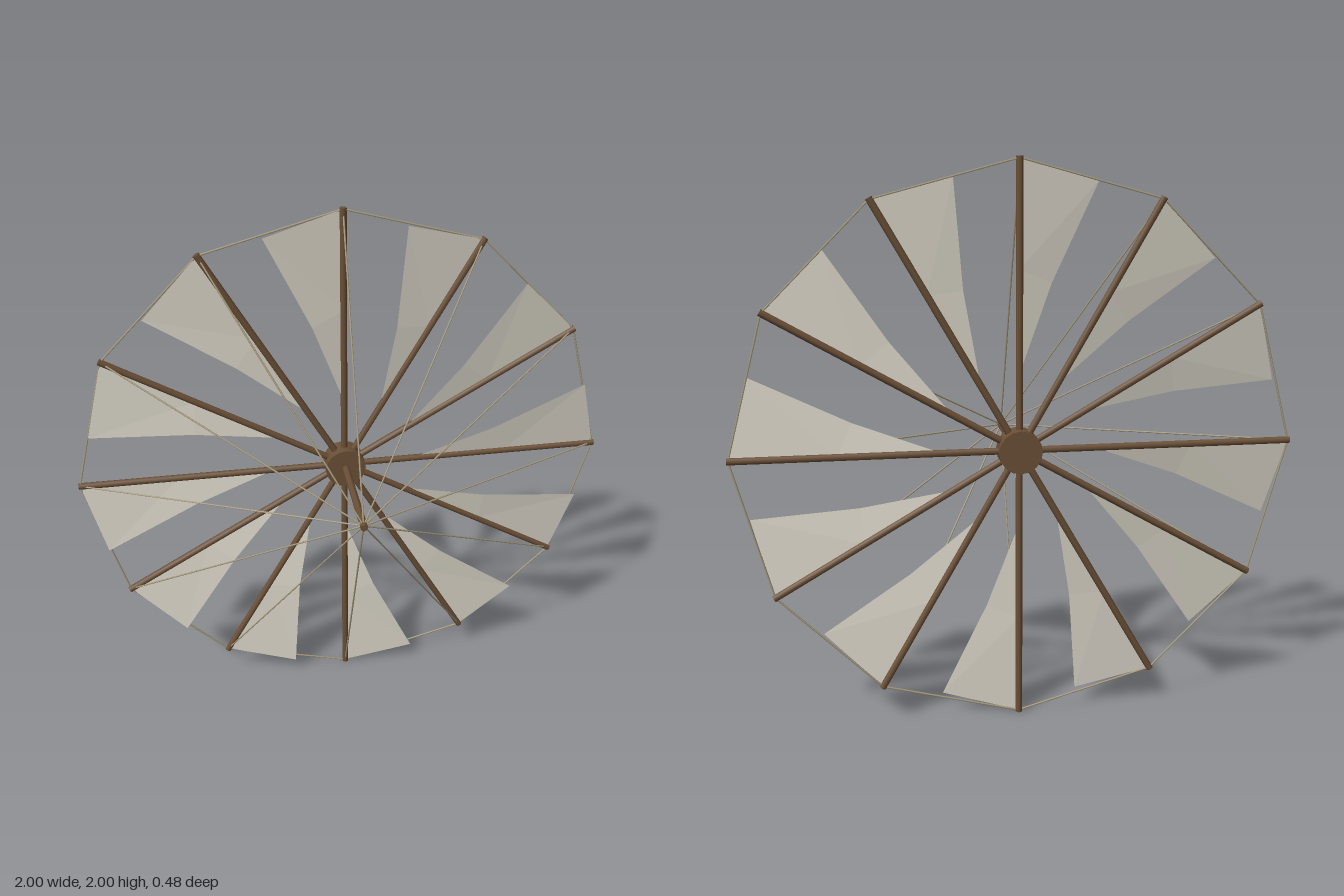
import * as THREE from 'three';

const SPOKES = 12, R = 0.995, HUB_Z = -0.203, APEX_Z = 0.225;

export function createModel() {
  const root = new THREE.Group();
  root.name = 'sailWheel';

  const material = (name, color, extra = {}) => {
    const m = new THREE.MeshStandardMaterial({ color, ...extra });
    m.name = name;
    return m;
  };
  const wood = material('brownWood', 0x6b5037);
  const rope = material('hempRope', 0xa89c7e);
  const cloth = material('paleCanvas', 0xd9d4c7, { side: THREE.DoubleSide, flatShading: true });

  const add = (parent, name, geometry, mat) => {
    const mesh = new THREE.Mesh(geometry, mat);
    mesh.name = name;
    parent.add(mesh);
    return mesh;
  };

  // Round bar between two points
  const bar = (parent, name, a, b, radius, sides, mat) => {
    const dir = b.clone().sub(a);
    const mesh = add(parent, name, new THREE.CylinderGeometry(radius, radius, dir.length(), sides), mat);
    mesh.position.copy(a).add(b).multiplyScalar(0.5);
    mesh.quaternion.setFromUnitVectors(new THREE.Vector3(0, 1, 0), dir.normalize());
  };

  // Everything turns about the wheel axis at y = 1
  const wheel = new THREE.Group();
  wheel.name = 'wheel';
  wheel.position.y = 1;
  root.add(wheel);

  // Hub and the bowsprit that carries the stays
  const hub = add(wheel, 'hub', new THREE.CylinderGeometry(0.077, 0.077, 0.08, 16), wood);
  hub.rotation.x = Math.PI / 2;
  hub.position.z = HUB_Z;
  bar(wheel, 'bowsprit', new THREE.Vector3(0, 0, HUB_Z), new THREE.Vector3(0, 0, 0.24), 0.014, 8, wood);

  // Slightly billowed triangular sail, laid along +x from the spoke's centre line
  const step = (Math.PI * 2) / SPOKES, t = 0.56;
  const cornerX = R * (1 + t * (Math.cos(step) - 1));
  const cornerY = R * t * Math.sin(step);
  const sail = new THREE.BufferGeometry();
  sail.setAttribute('position', new THREE.Float32BufferAttribute([
    0.27, 0, HUB_Z,                   // inner end
    0.63, 0, HUB_Z,                   // middle of the spoke edge
    R, 0, HUB_Z,                      // tip
    cornerX, cornerY, HUB_Z + 0.034,  // free corner
    0.58, 0.115, HUB_Z + 0.02,        // hollow of the free edge
  ], 3));
  sail.setIndex([0, 1, 4, 1, 3, 4, 1, 2, 3]);
  sail.computeVertexNormals();

  // Spokes, sails, rim ropes and stays
  const tip = new THREE.Vector3(R, 0, HUB_Z);
  const nextTip = new THREE.Vector3(R * Math.cos(step), R * Math.sin(step), HUB_Z);
  const apex = new THREE.Vector3(0, 0, APEX_Z);
  for (let i = 0; i < SPOKES; i++) {
    const arm = new THREE.Group();
    arm.name = `arm${i + 1}`;
    arm.rotation.z = i * step;
    bar(arm, 'spoke', new THREE.Vector3(0, 0, HUB_Z), new THREE.Vector3(1, 0, HUB_Z), 0.0125, 8, wood);
    bar(arm, 'rimRope', tip, nextTip, 0.0035, 6, rope);
    bar(arm, 'stay', apex, tip, 0.0032, 6, rope);
    add(arm, 'sail', sail, cloth);
    wheel.add(arm);
  }
  return root;
}
